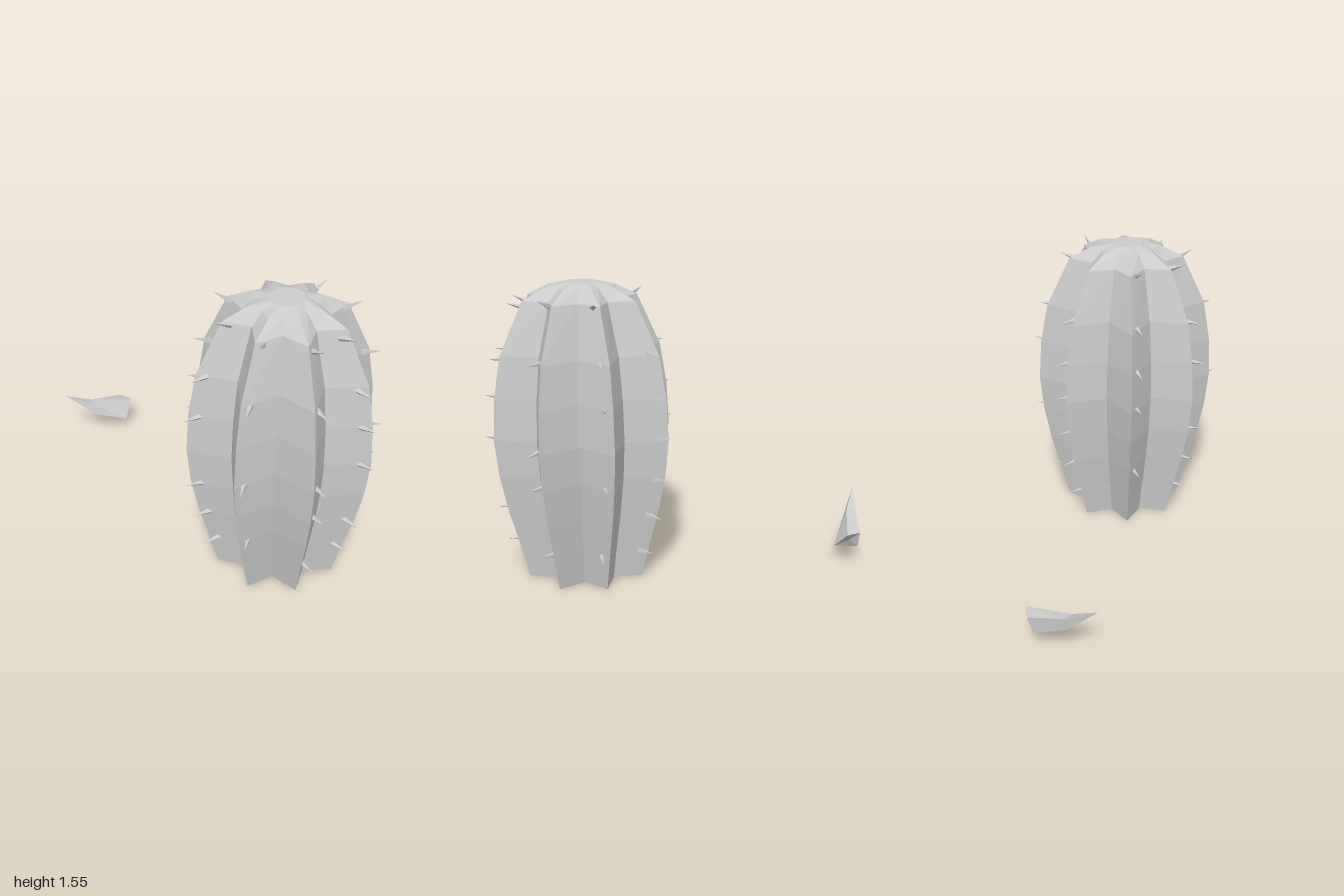
import * as THREE from 'three';

const material = new THREE.MeshStandardMaterial({ color: 0xcccccc, flatShading: true });
const RIBS = 8;
const STEP = (Math.PI * 2) / RIBS;

// Ridge profile: [height, ridge radius, groove radius / ridge radius]
const PROFILE = [
  [0, 0.32, 0.65], [0.2, 0.37, 0.65], [0.385, 0.42, 0.65], [0.575, 0.458, 0.65],
  [0.77, 0.477, 0.65], [0.985, 0.465, 0.65], [1.2, 0.427, 0.65], [1.465, 0.303, 0.67],
  [1.525, 0.185, 0.75], [1.547, 0.085, 1],
];

// Skin between cross-section rings, closed by a fan to a point at each end
function loft(rings, start, end) {
  const pos = [];
  const tri = (a, b, c) => pos.push(...a, ...b, ...c);
  const n = rings[0].length;
  const last = rings[rings.length - 1];
  for (let i = 0; i < n; i++) {
    const j = (i + 1) % n;
    for (let r = 0; r < rings.length - 1; r++) {
      const lo = rings[r], hi = rings[r + 1];
      tri(lo[i], hi[i], lo[j]);
      tri(lo[j], hi[i], hi[j]);
    }
    tri(start, rings[0][i], rings[0][j]);
    tri(end, last[j], last[i]);
  }
  const geo = new THREE.BufferGeometry();
  geo.setAttribute('position', new THREE.Float32BufferAttribute(pos, 3));
  geo.computeVertexNormals();
  return geo;
}

function ridgeRadius(y) {
  for (let i = 1; i < PROFILE.length; i++) {
    const [y0, r0] = PROFILE[i - 1], [y1, r1] = PROFILE[i];
    if (y <= y1) return r0 + ((r1 - r0) * (y - y0)) / (y1 - y0);
  }
  return 0;
}

function named(geometry, name) {
  const mesh = new THREE.Mesh(geometry, material);
  mesh.name = name;
  return mesh;
}

// Star-shaped ribbed stem
function makeStem() {
  const rings = PROFILE.map(([y, r, groove]) =>
    Array.from({ length: RIBS * 2 }, (_, i) => {
      const a = (i * STEP) / 2;
      const rad = i % 2 ? r : r * groove;
      return [Math.cos(a) * rad, y, Math.sin(a) * rad];
    }));
  return named(loft(rings, [0, 0, 0], [0, 1.547, 0]), 'stem');
}

// Spine heights on each rib, counted from the left front rib round through the front
const SPINES = [
  [0.2, 0.58, 0.77, 1.18, 1.43],
  [0.38, 0.77, 1.19, 1.45],
  [0.19, 0.38, 0.575, 0.98, 1.2, 1.46],
  [0.36, 0.775, 0.985, 1.21, 1.46],
  [0.15, 0.36, 0.56, 0.775, 0.98, 1.21],
  [0.19, 0.58, 0.985, 1.2, 1.46],
  [0.19, 0.58, 0.77, 1.2, 1.46],
  [0.21, 0.4, 0.77, 0.985, 1.18, 1.43],
];

function makeSpines() {
  const group = new THREE.Group();
  group.name = 'spines';
  const cone = new THREE.ConeGeometry(0.017, 0.1, 4).translate(0, 0.04, 0);
  const up = new THREE.Vector3(0, 1, 0);
  SPINES.forEach((heights, k) => {
    const a = (k + 0.5) * STEP;
    const side = k < RIBS / 2 ? -1 : 1;
    const out = new THREE.Vector3(Math.cos(a), 0, Math.sin(a));
    const across = new THREE.Vector3(-Math.sin(a), 0, Math.cos(a)).multiplyScalar(side);
    heights.forEach((y, i) => {
      const spine = named(cone, 'spine');
      spine.position.copy(out).multiplyScalar(ridgeRadius(y) * 0.9)
        .addScaledVector(across, 0.026).setY(y);
      const lift = (y > 1.4 ? 0.35 : 0.06) + 0.14 * Math.sin(k * 2.3 + i * 1.7);
      const dir = out.clone().addScaledVector(across, 0.3).addScaledVector(up, lift).normalize();
      spine.quaternion.setFromUnitVectors(up, dir);
      group.add(spine);
    });
  });
  return group;
}

// Large separate thorn: a bent four-sided spike
function makeThorn() {
  const base = [[-0.985, 0.18, 0.01], [-0.91, 0.18, -0.027], [-0.855, 0.09, 0.05], [-0.98, 0.09, 0.04]];
  const bend = [[-0.99, 0.23, 0.21], [-0.945, 0.23, 0.225], [-0.92, 0.165, 0.22], [-0.985, 0.165, 0.215]];
  return named(loft([base, bend], [-0.93, 0.135, 0.02], [-1, 0.32, 0.37]), 'looseThorn');
}

export function createModel() {
  const model = new THREE.Group();
  model.name = 'cactus';
  const plant = new THREE.Group();
  plant.name = 'plant';
  plant.position.x = 0.49;
  plant.add(makeStem(), makeSpines());
  model.add(plant, makeThorn());
  return model;
}
